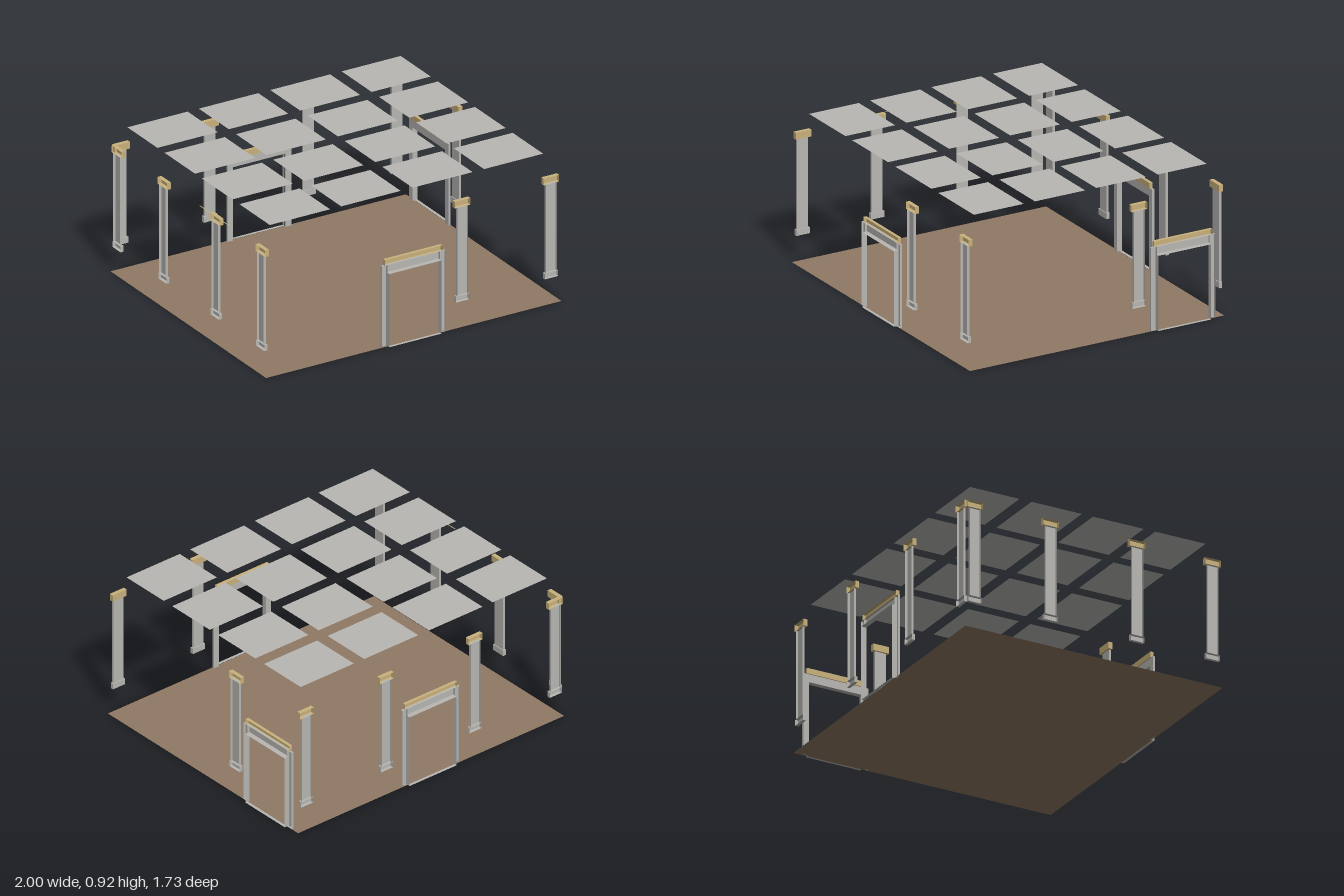
import * as THREE from 'three';

const mat = (name, color) => {
  const m = new THREE.MeshStandardMaterial({ color, side: THREE.DoubleSide });
  m.name = name;
  return m;
};

export function createModel() {
  const stone = mat('grey stone', 0xb8b7b3);
  const gold = mat('pale gold', 0xc9b27c);
  const earth = mat('brown floor', 0x8f7963);
  const model = new THREE.Group();

  const add = (parent, name, geometry, material) => {
    const mesh = new THREE.Mesh(geometry, material);
    mesh.name = name;
    parent.add(mesh);
    return mesh;
  };

  // Hollow trim block: a box without its back face, standing on the wall plane z = 0
  const trim = (parent, name, material, x, y0, y1, w, d) => {
    const g = new THREE.BoxGeometry(w, y1 - y0, d);
    g.setIndex(Array.from(g.index.array).slice(0, 30));
    g.clearGroups();
    g.translate(x, (y0 + y1) / 2, d / 2);
    add(parent, name, g, material);
  };

  // Flat horizontal sheet
  const sheet = (parent, name, material, x0, x1, z0, z1, y) => {
    const g = new THREE.PlaneGeometry(x1 - x0, z1 - z0).rotateX(-Math.PI / 2);
    g.translate((x0 + x1) / 2, y, (z0 + z1) / 2);
    add(parent, name, g, material);
  };

  // Places a group on a wall so that its +z points into the room
  const WALLS = {
    back: s => [s, -0.85, 0],
    front: s => [s, 0.845, Math.PI],
    left: s => [-1, s, Math.PI / 2],
    right: s => [0.985, s, -Math.PI / 2],
  };
  const onWall = (name, wall, s) => {
    const [x, z, turn] = WALLS[wall](s);
    const g = new THREE.Group();
    g.name = name;
    g.position.set(x, 0, z);
    g.rotation.y = turn;
    model.add(g);
    return g;
  };

  // Floor
  sheet(model, 'floor', earth, -1, 0.985, -0.85, 0.845, 0);

  // Ceiling panels, four by four
  const xs = [[-0.93, -0.525], [-0.45, -0.05], [0.03, 0.433], [0.51, 0.907]];
  const zs = [[-0.78, -0.453], [-0.375, -0.043], [0.03, 0.365], [0.44, 0.772]];
  for (const [x0, x1] of xs)
    for (const [z0, z1] of zs) sheet(model, 'ceilingPanel', stone, x0, x1, z0, z1, 0.92);

  // Wall pilasters: base, shaft and capital
  const pilasters = {
    back: [-0.938, -0.34, 0.322, 0.918],
    front: [0.322, 0.918],
    left: [-0.785, -0.285, 0.285, 0.782],
    right: [-0.285],
  };
  for (const wall in pilasters)
    for (const s of pilasters[wall]) {
      const p = onWall('pilaster', wall, s);
      trim(p, 'pilasterBase', stone, 0, 0.163, 0.2, 0.09, 0.02);
      trim(p, 'pilasterShaft', stone, 0, 0.2, 0.758, 0.073, 0.015);
      trim(p, 'pilasterCapital', gold, 0, 0.758, 0.8, 0.104, 0.026);
    }

  // Narrow ledge over one pilaster
  sheet(model, 'ledge', gold, -1, -0.994, 0.115, 0.44, 0.799);

  // Doorways: trim inside, lining through the wall
  for (const [wall, s] of [['back', -0.008], ['front', -0.008], ['right', -0.577]]) {
    const d = onWall('doorway', wall, s);
    for (const side of [-1, 1]) {
      trim(d, 'doorPost', stone, side * 0.195, 0, 0.513, 0.038, 0.014);
      const lining = new THREE.PlaneGeometry(0.018, 0.463).rotateY(-side * Math.PI / 2);
      lining.translate(side * 0.175, 0.2315, -0.009);
      add(d, 'doorLining', lining, stone);
    }
    trim(d, 'doorLintel', stone, 0, 0.463, 0.513, 0.352, 0.014);
    trim(d, 'doorCornice', gold, 0, 0.513, 0.548, 0.388, 0.02);
    sheet(d, 'doorLiningTop', stone, -0.175, 0.175, -0.018, 0, 0.463);
    sheet(d, 'threshold', stone, -0.175, 0.175, -0.018, 0, 0.001);
  }

  return model;
}
